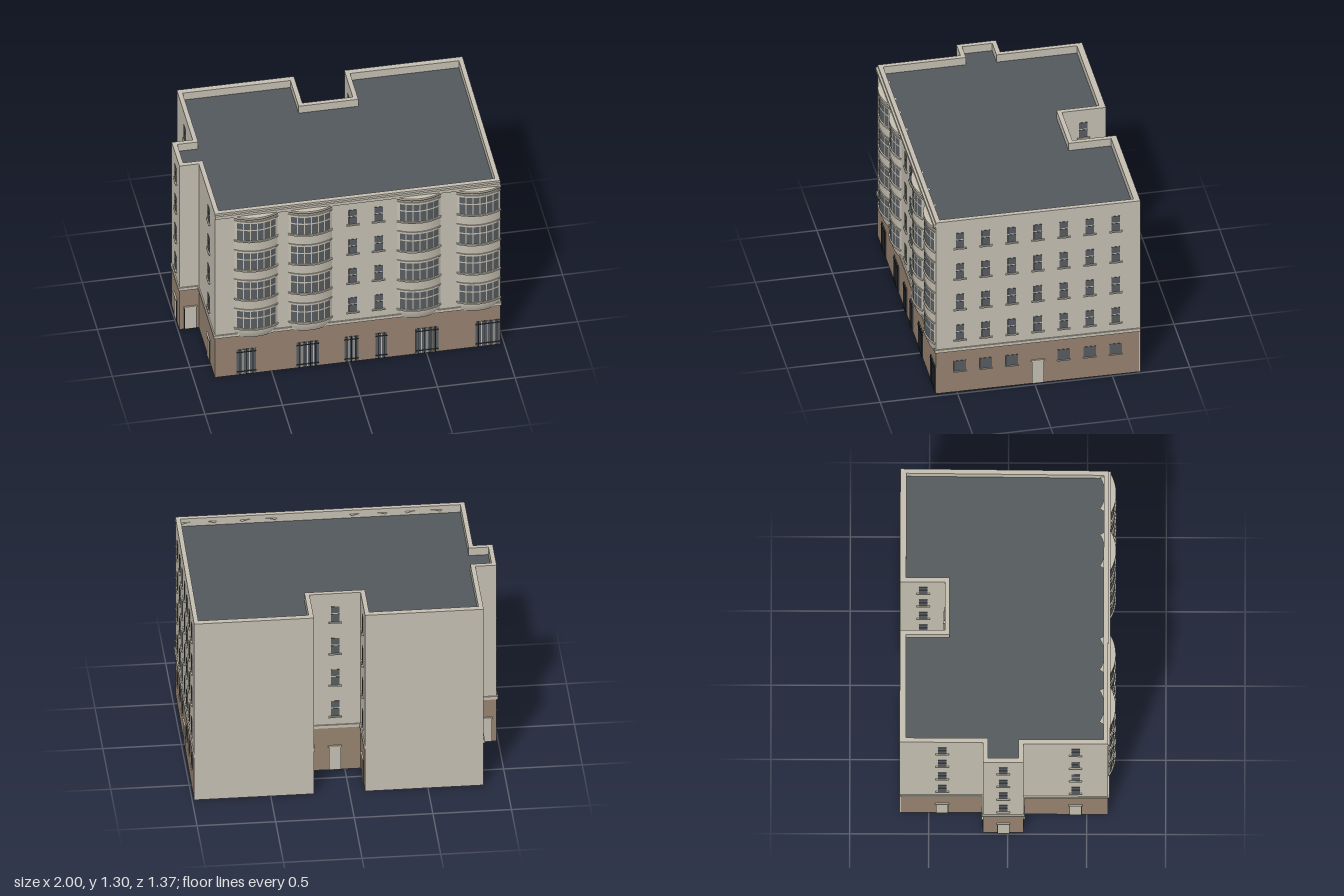
import * as THREE from 'three';
import { toCreasedNormals } from 'three/addons/utils/BufferGeometryUtils.js';

const mat = (name, color) => {
  const m = new THREE.MeshStandardMaterial({ color });
  m.name = name;
  return m;
};

export function createModel() {
  const model = new THREE.Group();
  model.name = 'cornerBuilding';
  const wall = mat('cream render', 0xc6c0b2);
  const brick = mat('brown base', 0x978370);
  const glass = mat('grey glass', 0x585d61);
  const roofing = mat('slate roof', 0x54595d);
  const iron = mat('dark iron', 0x2b2e30);

  const add = (parent, name, geo, material, x = 0, y = 0, z = 0) => {
    const m = new THREE.Mesh(geo, material);
    m.name = name;
    m.position.set(x, y, z);
    parent.add(m);
    return m;
  };
  const box = (parent, name, material, w, h, d, x, y, z) =>
    add(parent, name, new THREE.BoxGeometry(w, h, d), material, x, y, z);

  // Footprint as [x, z], each edge running left to right as seen from outside
  const plan = [
    [-0.865, 0.635], [0.975, 0.635], [0.987, -0.675], [0.225, -0.675],
    [0.225, -0.4], [-0.1, -0.4], [-0.1, -0.675], [-0.855, -0.675],
    [-0.855, -0.155], [-0.99, -0.155], [-0.99, 0.1], [-0.865, 0.1],
  ];
  const N = plan.length;

  // Moves every edge of the footprint outward by d (inward if negative)
  const offset = (d) => plan.map((p, i) => {
    const a = plan[(i + N - 1) % N], b = plan[(i + 1) % N];
    const n1 = new THREE.Vector2(a[1] - p[1], p[0] - a[0]).normalize();
    const n2 = new THREE.Vector2(p[1] - b[1], b[0] - p[0]).normalize();
    const k = d / (1 + n1.dot(n2));
    return [p[0] + (n1.x + n2.x) * k, p[1] + (n1.y + n2.y) * k];
  });
  const toVec = (pts) => pts.map(([x, z]) => new THREE.Vector2(x, -z));
  const slab = (name, pts, y0, y1, material, hole) => {
    const shape = new THREE.Shape(toVec(pts));
    if (hole) shape.holes.push(new THREE.Path(toVec(hole)));
    const geo = new THREE.ExtrudeGeometry(shape, { depth: y1 - y0, bevelEnabled: false });
    geo.rotateX(-Math.PI / 2);
    return add(model, name, geo, material, 0, y0, 0);
  };

  // Main body, string course, roof and parapet
  slab('groundFloor', plan, 0, 0.31, [wall, brick]);
  slab('upperFloors', plan, 0.31, 1.245, [roofing, wall]);
  slab('stringCourse', offset(0.008), 0.312, 0.334, wall);
  slab('parapet', plan, 1.245, 1.3, wall, offset(-0.03));

  // One group per wall: local x runs along it, local z points outward
  const facades = plan.map((a, i) => {
    const b = plan[(i + 1) % N];
    const g = new THREE.Group();
    g.name = 'facade' + i;
    g.position.set(a[0], 0, a[1]);
    g.rotation.y = Math.atan2(a[1] - b[1], b[0] - a[0]);
    g.userData.length = Math.hypot(b[0] - a[0], b[1] - a[1]);
    model.add(g);
    return g;
  });

  const floors = [0.395, 0.627, 0.859, 1.092];
  const windowColumn = (f, x) => floors.forEach((y) => {
    box(f, 'lowerPane', glass, 0.054, 0.056, 0.004, x, y + 0.03, 0.001);
    box(f, 'upperPane', glass, 0.054, 0.046, 0.004, x, y + 0.09, 0.001);
    box(f, 'windowSill', wall, 0.084, 0.009, 0.02, x, y - 0.004, 0);
  });
  const door = (f, x) => {
    box(f, 'doorJamb', iron, 0.078, 0.17, 0.004, x, 0.085, 0.001);
    box(f, 'door', wall, 0.07, 0.166, 0.008, x, 0.086, 0.001);
    box(f, 'doorLintel', wall, 0.088, 0.009, 0.02, x, 0.175, 0);
  };

  // Right side: seven window columns, small ground windows and a door
  for (let i = 0; i < 7; i++) {
    const x = 0.155 + i * 0.1675;
    windowColumn(facades[1], x);
    if (i === 3) door(facades[1], x);
    else {
      box(facades[1], 'groundWindow', glass, 0.08, 0.078, 0.004, x, 0.196, 0.001);
      box(facades[1], 'groundSill', wall, 0.086, 0.007, 0.016, x, 0.154, 0);
    }
  }

  // Rear court and left side: one window column and a door on each wall
  [3, 4, 5, 7, 9, 11].forEach((i) => {
    const x = i === 11 ? 0.33 : facades[i].userData.length / 2;
    windowColumn(facades[i], x);
    door(facades[i], x);
  });
  [8, 10].forEach((i) => door(facades[i], i === 10 ? 0.07 : 0.0675));

  // Blank full-height rear walls
  [2, 6].forEach((i) => {
    const L = facades[i].userData.length;
    box(facades[i], 'rearWall', wall, L, 1.3, 0.009, L / 2, 0.65, 0.0045);
  });

  // Front: two plain window columns, cornice and barred ground windows
  const front = facades[0], x0 = 0.865;
  [0.025, 0.19].forEach((x) => windowColumn(front, x + x0));
  box(front, 'cornice', wall, 1.84, 0.022, 0.014, 0.92, 1.275, 0.007);
  const shopWindows = [
    [-0.725, -0.6], [-0.34, -0.195], [-0.03, 0.06], [0.17, 0.245], [0.43, 0.575], [0.815, 0.972],
  ];
  shopWindows.forEach(([a, b]) => {
    const w = b - a, c = (a + b) / 2 + x0;
    box(front, 'shopGlass', glass, w, 0.19, 0.004, c, 0.104, 0.001);
    const n = Math.round(w / 0.036);
    for (let i = 0; i <= n; i++) {
      const x = a + x0 + (w * i) / n;
      if (i > 0 && i < n) box(front, 'mullion', wall, 0.006, 0.19, 0.007, x, 0.104, 0.001);
      if (i < n) box(front, 'ironBar', iron, 0.005, 0.195, 0.01, x + w / n / 2, 0.104, 0.004);
    }
    [0.028, 0.18].forEach((y) => box(front, 'ironRail', iron, w, 0.004, 0.01, c, y, 0.004));
  });

  // Curved bays, each an arc swept around a centre behind the front wall
  const R = 0.265, A = 0.557, centreZ = 0.635 - R * Math.cos(A);
  const arc = (parent, name, pts, material, start = -A, length = 2 * A, seg = 24) => {
    const geo = new THREE.LatheGeometry(pts.map(([r, y]) => new THREE.Vector2(r, y)), seg, start, length);
    add(parent, name, toCreasedNormals(geo, 0.5), material);
  };
  const ring = (parent, name, out, y0, y1) => arc(parent, name,
    [[R - 0.01, y0], [R + out, y0], [R + out, y1], [R - 0.01, y1]], wall);
  [-0.6, -0.25, 0.45, 0.835].forEach((x) => {
    const bay = new THREE.Group();
    bay.name = 'bay';
    bay.position.set(x, 0, centreZ);
    model.add(bay);
    arc(bay, 'bayWall', [
      [0.2, 0.3], [R - 0.018, 0.305], [R - 0.012, 0.32], [R - 0.003, 0.345], [R, 0.365],
      [R, 1.245], [R + 0.008, 1.255], [R + 0.008, 1.268], [0.2, 1.274],
    ], wall);
    floors.forEach((f) => {
      const y = f - 0.008;
      ring(bay, 'baySill', 0.009, y - 0.014, y - 0.004);
      ring(bay, 'bayHead', 0.006, y + 0.142, y + 0.15);
      const step = 1.0 / 6;
      for (let i = 0; i < 6; i++) {
        const start = -0.5 + i * step + 0.012;
        [[0, 0.076], [0.085, 0.132]].forEach(([a, b]) => arc(bay, 'bayPane',
          [[R + 0.002, y + a], [R + 0.002, y + b]], glass, start, step - 0.024, 4));
      }
    });
  });

  return model;
}
